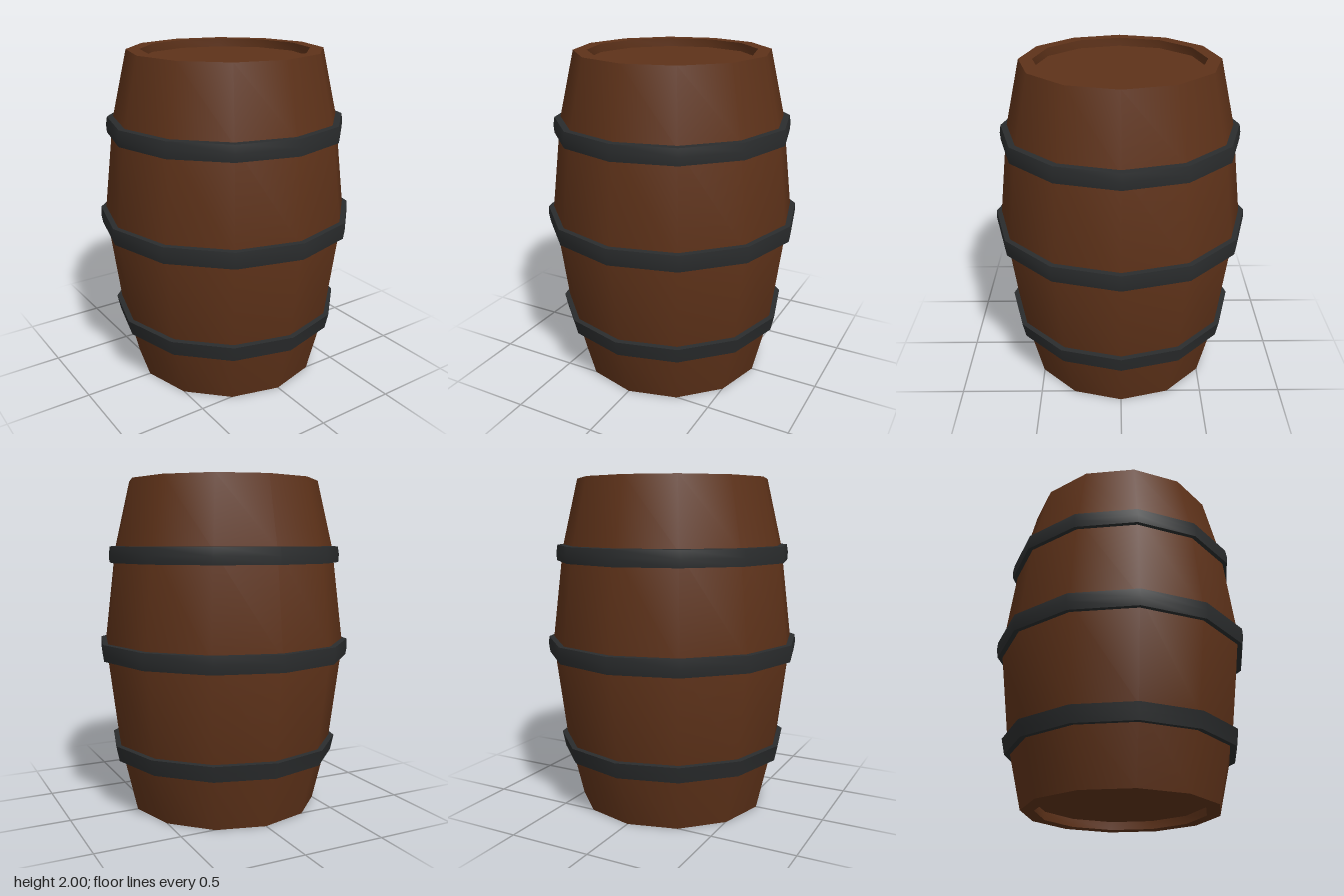
import * as THREE from 'three';
import { toCreasedNormals } from 'three/addons/utils/BufferGeometryUtils.js';

const SIDES = 12;

// Twelve-sided turned part: soft round the sides, sharp at the rims
function turned(name, profile, material) {
  const points = profile.map(([r, y]) => new THREE.Vector2(r, y));
  const geometry = toCreasedNormals(new THREE.LatheGeometry(points, SIDES), 0.65);
  const mesh = new THREE.Mesh(geometry, material);
  mesh.name = name;
  return mesh;
}

export function createModel() {
  const wood = new THREE.MeshStandardMaterial({ color: 0x5e3219 });
  const iron = new THREE.MeshStandardMaterial({ color: 0x2a2c2d });
  const barrel = new THREE.Group();
  barrel.name = 'barrel';

  // Bulging body with a recessed lid at each end
  barrel.add(turned('body', [
    [0, 0.05], [0.5, 0.05], [0.5, 0], [0.58, 0],
    [0.677, 0.41], [0.75, 1], [0.677, 1.59],
    [0.58, 2], [0.5, 2], [0.5, 1.95], [0, 1.95],
  ], wood));

  // Hoops: bottom y, top y, outer radius at the bottom, belly and top
  const hoops = [
    ['lowerHoop', 0.32, 0.415, 0.69, 0.7, 0.71],
    ['middleHoop', 0.935, 1.035, 0.772, 0.78, 0.777],
    ['upperHoop', 1.51, 1.605, 0.715, 0.718, 0.71],
  ];
  for (const [name, y0, y1, r0, rMid, r1] of hoops) {
    barrel.add(turned(name, [
      [r0 - 0.08, y0 + 0.005], [r0, y0], [rMid, (y0 + y1) / 2],
      [r1, y1], [r1 - 0.08, y1 + 0.005], [r0 - 0.08, y0 + 0.005],
    ], iron));
  }
  return barrel;
}
